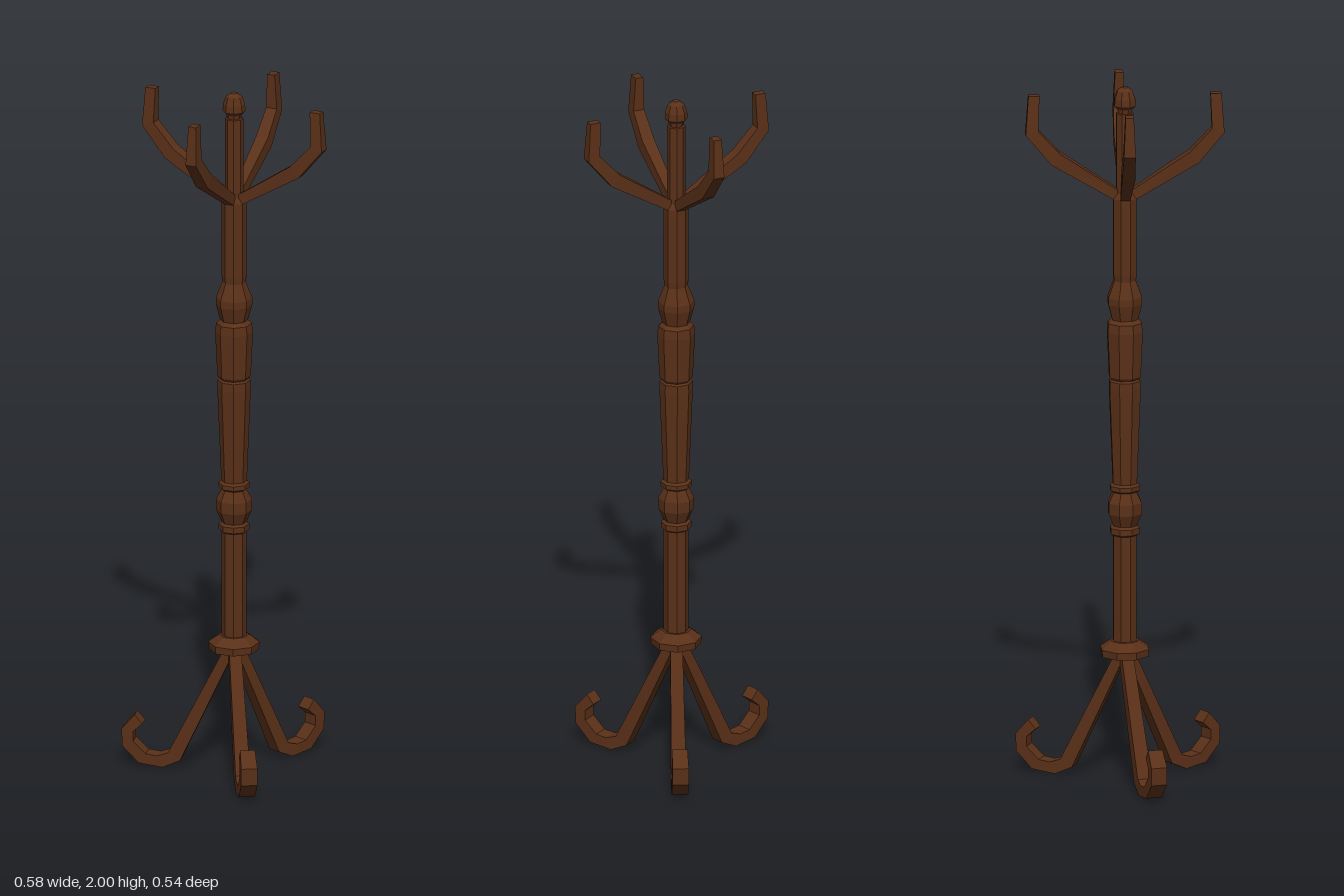
import * as THREE from 'three';

const wood = new THREE.MeshStandardMaterial({ color: 0x5a3018, flatShading: true });
const deg = Math.PI / 180;

// Four-sided bent limb. Each station: [innerS, innerY, outerS, outerY, width],
// where S is the distance from the pole axis.
function limbGeometry(stations) {
  const rings = stations.map(([si, yi, so, yo, w]) => [
    [si, yi, w / 2], [si, yi, -w / 2], [so, yo, -w / 2], [so, yo, w / 2],
  ]);
  const pos = [];
  const quad = (a, b, c, d) => pos.push(...a, ...b, ...c, ...a, ...c, ...d);
  for (let i = 0; i < rings.length - 1; i++) {
    const r = rings[i], n = rings[i + 1];
    for (let k = 0; k < 4; k++) {
      const j = (k + 1) % 4;
      quad(r[k], n[k], n[j], r[j]);
    }
  }
  const first = rings[0], last = rings[rings.length - 1];
  quad(first[0], first[1], first[2], first[3]);
  quad(last[3], last[2], last[1], last[0]);
  const g = new THREE.BufferGeometry();
  g.setAttribute('position', new THREE.Float32BufferAttribute(pos, 3));
  g.computeVertexNormals();
  return g;
}

// Eight-sided turned piece from [radius, y] pairs
function turned(name, profile) {
  const points = profile.map(([r, y]) => new THREE.Vector2(r, y));
  const g = new THREE.LatheGeometry(points, 8).toNonIndexed();
  g.computeVertexNormals();
  const mesh = new THREE.Mesh(g, wood);
  mesh.name = name;
  return mesh;
}

// Copies of one limb around the pole
function ring(name, geometry, angles) {
  const group = new THREE.Group();
  group.name = name + 's';
  angles.forEach((a, i) => {
    const mesh = new THREE.Mesh(geometry, wood);
    mesh.name = name + (i + 1);
    mesh.rotation.y = a * deg;
    group.add(mesh);
  });
  return group;
}

export function createModel() {
  const model = new THREE.Group();
  model.name = 'coatStand';
  const stand = new THREE.Group();
  stand.name = 'stand';
  stand.position.set(-0.031, 0, -0.002);
  model.add(stand);

  // Collar joining the legs
  stand.add(turned('collar', [
    [0, 0.357], [0.07, 0.357], [0.072, 0.378], [0.042, 0.4], [0, 0.4],
  ]));

  // Main pole with its turned beads and swellings
  stand.add(turned('pole', [
    [0, 0.38], [0.035, 0.38], [0.035, 0.705],
    [0.043, 0.71], [0.043, 0.727], [0.035, 0.733],
    [0.05, 0.768], [0.05, 0.8], [0.035, 0.83],
    [0.044, 0.836], [0.044, 0.849], [0.036, 0.855],
    [0.047, 1.13], [0.046, 1.152], [0.041, 1.157],
    [0.047, 1.165], [0.053, 1.295], [0.05, 1.32], [0.039, 1.33],
    [0.051, 1.375], [0.051, 1.395], [0.033, 1.442],
    [0.035, 1.46], [0.035, 1.68], [0.026, 1.695], [0.026, 1.925], [0, 1.93],
  ]));

  // Acorn finial
  stand.add(turned('finial', [
    [0, 1.925], [0.02, 1.925], [0.022, 1.937], [0.032, 1.947],
    [0.031, 1.968], [0.023, 1.99], [0.01, 2], [0, 2],
  ]));

  // Upper hooks
  const hook = limbGeometry([
    [0.005, 1.7, 0.005, 1.668, 0.024],
    [0.03, 1.712, 0.03, 1.677, 0.028],
    [0.182, 1.813, 0.207, 1.782, 0.037],
    [0.244, 1.88, 0.279, 1.868, 0.033],
    [0.24, 1.98, 0.271, 1.98, 0.023],
  ]);
  stand.add(ring('hook', hook, [21.5, 110.8, 201.2, 291.5]));

  // Curled feet
  const leg = limbGeometry([
    [0.024, 0.365, -0.004, 0.358, 0.034],
    [0.185, 0.046, 0.15, 0.026, 0.042],
    [0.215, 0.036, 0.2, 0.003, 0.045],
    [0.248, 0.04, 0.268, 0.012, 0.046],
    [0.284, 0.075, 0.315, 0.06, 0.046],
    [0.284, 0.104, 0.317, 0.11, 0.046],
    [0.258, 0.127, 0.28, 0.153, 0.042],
  ]);
  leg.translate(0, -0.003, 0);
  stand.add(ring('leg', leg, [-1.8, 125.6, -125.3]));

  return model;
}
